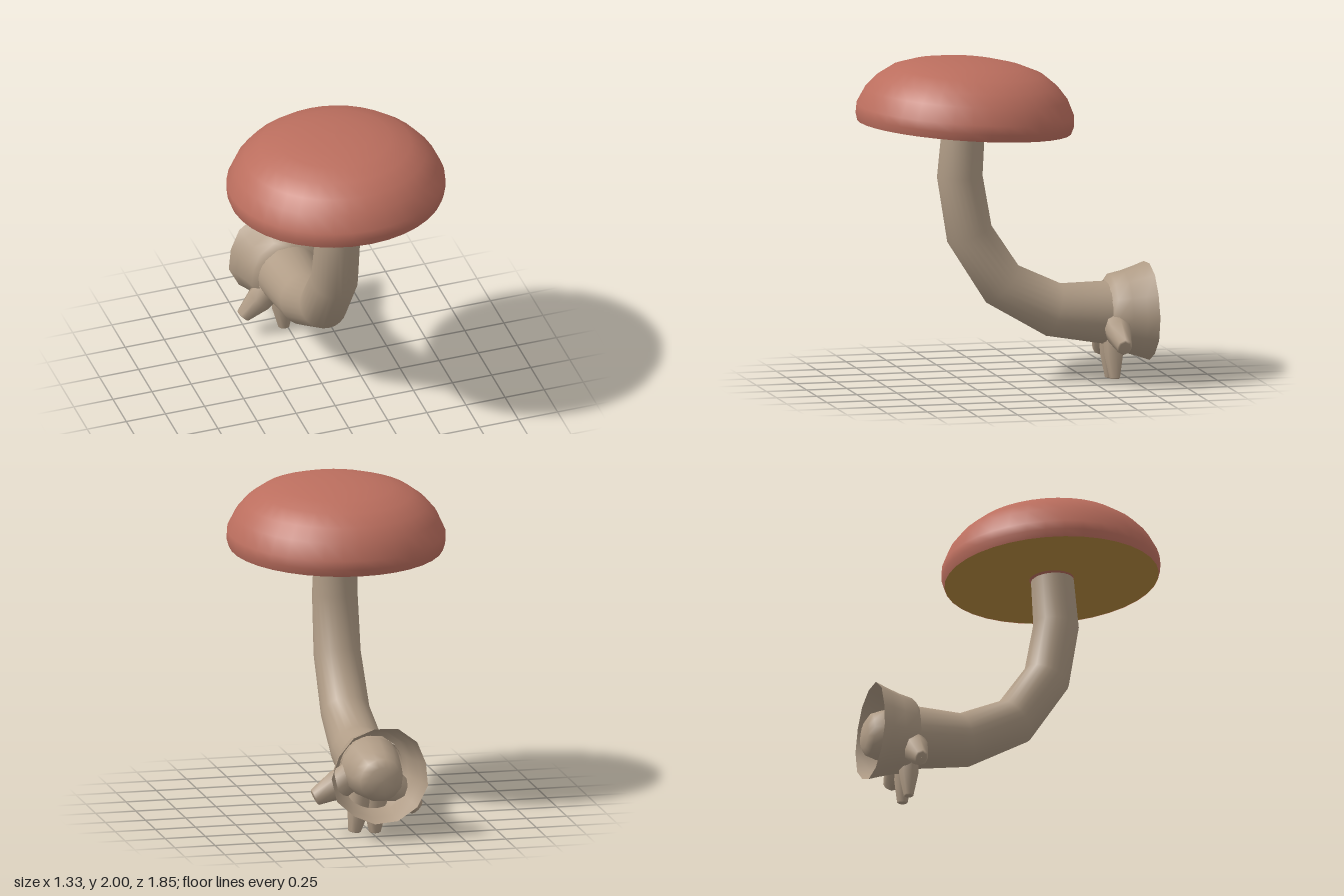
import * as THREE from 'three';

const mat = (name, color) => {
  const m = new THREE.MeshStandardMaterial({ color, side: THREE.DoubleSide });
  m.name = name;
  return m;
};

// Ring of points around a centre, facing along dir; wave(angle) scales the radius
function ring(c, dir, r, n, wave = () => 1) {
  const d = dir.clone().normalize();
  const v = d.clone().cross(new THREE.Vector3(1, 0, 0)).normalize();
  const u = v.clone().cross(d);
  return Array.from({ length: n }, (_, j) => {
    const a = (j / n) * Math.PI * 2, k = r * wave(a);
    return c.clone().addScaledVector(u, Math.cos(a) * k).addScaledVector(v, Math.sin(a) * k);
  });
}

// Smooth skin over successive rings
function loft(rings) {
  const n = rings[0].length, pos = [], idx = [];
  rings.forEach(r => r.forEach(p => pos.push(p.x, p.y, p.z)));
  for (let i = 0; i < rings.length - 1; i++) {
    for (let j = 0; j < n; j++) {
      const a = i * n + j, b = i * n + (j + 1) % n;
      idx.push(a, b, a + n, b, b + n, a + n);
    }
  }
  const g = new THREE.BufferGeometry();
  g.setAttribute('position', new THREE.Float32BufferAttribute(pos, 3));
  g.setIndex(idx);
  g.computeVertexNormals();
  return g;
}

export function createModel() {
  const root = new THREE.Group();
  const red = mat('capRed', 0xbb6e5e);
  const ochre = mat('gillOchre', 0xb58a3e);
  const tan = mat('stemTan', 0xb09c86);
  const add = (parent, name, geo, m) => {
    const mesh = new THREE.Mesh(geo, m);
    mesh.name = name;
    parent.add(mesh);
    return mesh;
  };
  const lathe = (pts, n) => new THREE.LatheGeometry(pts.map(p => new THREE.Vector2(...p)), n);
  const V = (x, y, z) => new THREE.Vector3(x, y, z);

  // Cap: tilted dome with a flat underside that has a round hole for the stem
  const cap = new THREE.Group();
  cap.name = 'cap';
  cap.position.set(0, 1.585, 0.267);
  cap.rotation.x = -0.07;
  root.add(cap);
  add(cap, 'capDome', lathe([[0.65, 0], [0.664, 0.045], [0.662, 0.1], [0.615, 0.2], [0.55, 0.275],
    [0.46, 0.34], [0.34, 0.38], [0.22, 0.402], [0.1, 0.412], [0, 0.414]], 36), red);
  add(cap, 'gills', lathe([[0.135, 0.004], [0.65, 0.002]], 36), ochre);
  add(cap, 'stemSocket', lathe([[0, 0.03], [0.135, 0.03]], 24), red);

  // Stem: bent tube, sections as [y, z, radius]
  const path = [[1.578, 0.272, 0.13], [1.28, 0.295, 0.138], [0.925, 0.235, 0.143],
    [0.61, 0.03, 0.149], [0.44, -0.29, 0.165], [0.41, -0.64, 0.195]];
  const centres = path.map(([y, z]) => V(0, y, z));
  add(root, 'stem', loft(path.map(([, , r], i) => {
    const unit = (a, b) => centres[b].clone().sub(centres[a]).normalize();
    const dir = V(0, 0, 0);
    if (i > 0) dir.add(unit(i - 1, i));
    if (i < path.length - 1) dir.add(unit(i, i + 1));
    return ring(centres[i], dir, r, 24);
  })), tan);

  // Flared, slightly ragged skirt, open at the back
  const back = V(0, 0, -1);
  const ragged = a => 1 + 0.025 * Math.sin(3 * a + 1) + 0.015 * Math.sin(5 * a);
  add(root, 'skirt', loft([[-0.615, 0.196], [-0.645, 0.232], [-0.73, 0.25], [-0.81, 0.275], [-0.88, 0.3]]
    .map(([z, r]) => ring(V(0, 0.41, z), back, r, 13, ragged))), tan);

  // Rounded stem end inside the skirt
  add(root, 'stemEnd', loft([[-0.63, 0.192], [-0.72, 0.175], [-0.82, 0.155], [-0.89, 0.13], [-0.92, 0.085], [-0.922, 0.001]]
    .map(([z, r]) => ring(V(0, 0.41 + (z + 0.63) * 0.08, z), back, r, 14, ragged))), tan);

  // Stubby roots: [start x, start y, tip x, tip y, base radius, tip radius]
  const roots = [[-0.1, 0.32, -0.287, 0.145, 0.085, 0.045], [-0.025, 0.28, -0.02, 0.008, 0.07, 0.033],
    [0.06, 0.28, 0.108, 0.018, 0.068, 0.036], [0.1, 0.375, 0.358, 0.245, 0.09, 0.05]];
  const lobed = a => 1 + 0.1 * Math.cos(2 * a);
  roots.forEach(([x0, y0, x1, y1, r0, r1], i) => {
    const a = V(x0, y0, -0.645), b = V(x1, y1, -0.645), dir = b.clone().sub(a);
    add(root, 'root' + (i + 1), loft([[0, r0], [0.45, r0 * 0.95], [0.98, r1], [1, r1 * 0.75], [1, 0.001]]
      .map(([t, r]) => ring(a.clone().lerp(b, t), dir, r, 8, lobed))), tan);
  });
  return root;
}
